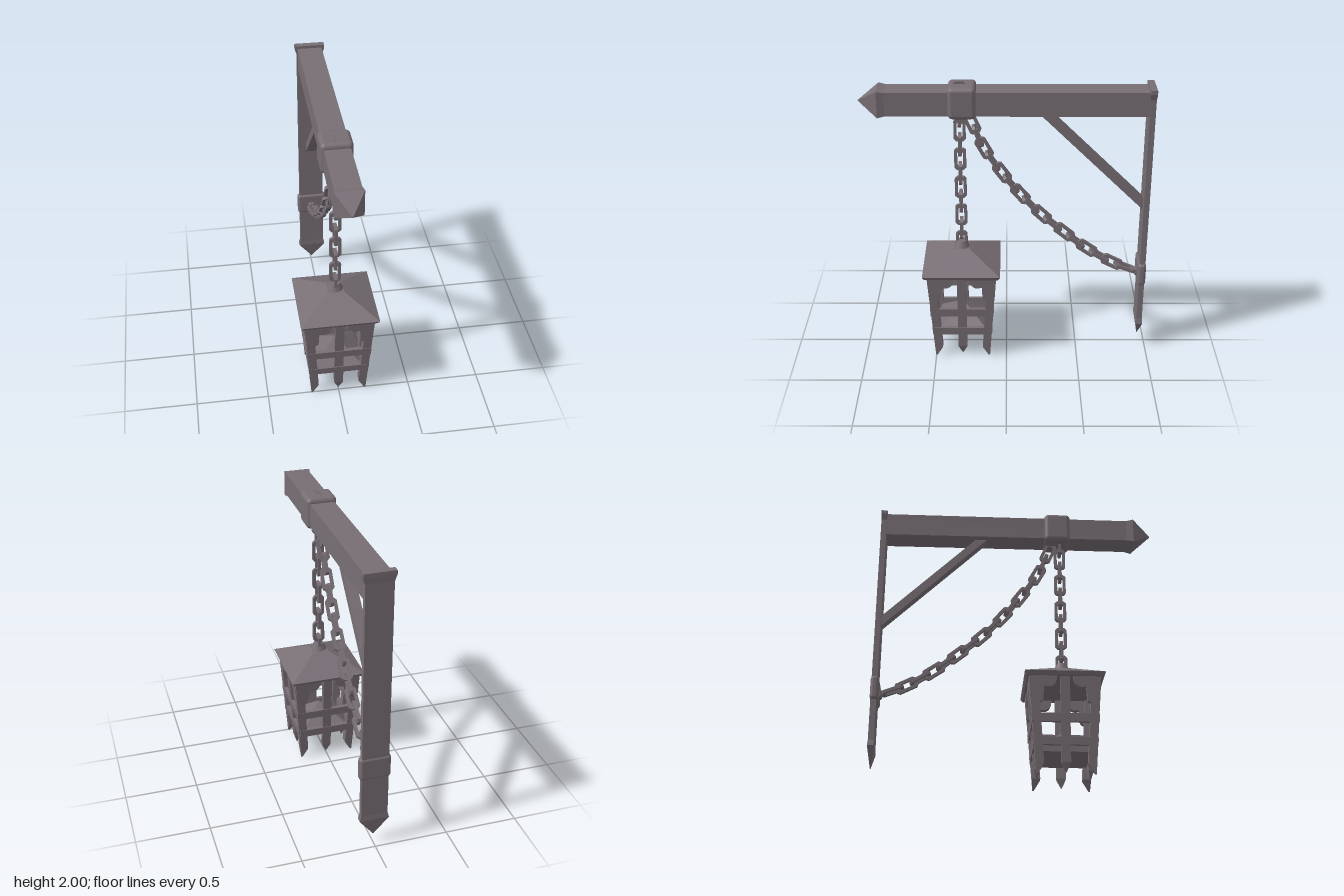
import * as THREE from 'three';
import { RoundedBoxGeometry } from 'three/addons/geometries/RoundedBoxGeometry.js';

const CAGE_Z = 0.31;

export function createModel() {
  const model = new THREE.Group();
  const iron = new THREE.MeshStandardMaterial({ color: 0x776e74 });
  iron.name = 'grey iron';

  function add(name, geometry, parent = model, x = 0, y = 0, z = 0) {
    const mesh = new THREE.Mesh(geometry, iron);
    mesh.name = name;
    mesh.position.set(x, y, z);
    parent.add(mesh);
    return mesh;
  }

  // Rectangular sections stacked along y: [y, halfX, halfZ, centreX, centreZ]
  function loft(rings) {
    const pos = [], index = [];
    for (const [y, hx, hz, cx = 0, cz = 0] of rings) {
      for (const [sx, sz] of [[-1, 1], [1, 1], [1, -1], [-1, -1]]) pos.push(cx + sx * hx, y, cz + sz * hz);
    }
    for (let r = 0; r < rings.length - 1; r++) {
      for (let i = 0; i < 4; i++) {
        const a = r * 4 + i, b = r * 4 + (i + 1) % 4;
        index.push(a, b, b + 4, a, b + 4, a + 4);
      }
    }
    const t = (rings.length - 1) * 4;
    index.push(0, 2, 1, 0, 3, 2, t, t + 1, t + 2, t, t + 2, t + 3);
    let g = new THREE.BufferGeometry();
    g.setAttribute('position', new THREE.Float32BufferAttribute(pos, 3));
    g.setIndex(index);
    g = g.toNonIndexed();
    g.computeVertexNormals();
    return g;
  }

  // Wall post with pointed foot, and beam with pointed flared end
  add('wallPost', loft([
    [0.07, 0.002, 0.002], [0.2, 0.1, 0.022], [0.24, 0.09, 0.019],
    [1.9, 0.09, 0.019], [1.945, 0.104, 0.022], [1.97, 0.104, 0.022],
  ]), model, 0, 0, -0.948);
  const beam = add('beam', loft([
    [-0.93, 0.084, 0.083], [0.79, 0.084, 0.08], [0.84, 0.092, 0.09], [0.97, 0.002, 0.002],
  ]), model, 0, 1.868, 0);
  beam.rotation.x = Math.PI / 2;

  // Diagonal brace
  const low = new THREE.Vector3(0, 1.11, -0.945), high = new THREE.Vector3(0, 1.82, -0.22);
  const brace = add('brace', new THREE.BoxGeometry(0.07, low.distanceTo(high), 0.055));
  brace.position.copy(low).lerp(high, 0.5);
  brace.rotation.x = Math.atan2(high.z - low.z, high.y - low.y);

  // Beam collar and chain anchor on the post
  add('beamCollar', new RoundedBoxGeometry(0.208, 0.216, 0.184, 3, 0.03), model, 0, 1.875, 0.29);
  add('anchorPlate', new RoundedBoxGeometry(0.21, 0.165, 0.056, 3, 0.02), model, 0, 0.605, -0.945);
  add('anchorStud', new RoundedBoxGeometry(0.05, 0.06, 0.03, 2, 0.012), model, 0, 0.59, -0.913);

  // Chain link: chamfered frame in the yz plane
  function linkOutline(Type, w, h, c) {
    return new Type([
      [-w + c, -h], [w - c, -h], [w, -h + c], [w, h - c],
      [w - c, h], [-w + c, h], [-w, h - c], [-w, -h + c],
    ].map(([x, y]) => new THREE.Vector2(x, y)));
  }
  const linkShape = linkOutline(THREE.Shape, 0.04, 0.078, 0.016);
  linkShape.holes.push(linkOutline(THREE.Path, 0.02, 0.054, 0.008));
  const linkGeometry = new THREE.ExtrudeGeometry(linkShape, { depth: 0.022, bevelEnabled: false });
  linkGeometry.translate(0, 0, -0.011).rotateY(Math.PI / 2);

  function addLink(parent, point, tangent, turned) {
    const link = add('chainLink', linkGeometry, parent);
    link.position.copy(point);
    link.rotation.order = 'XYZ';
    link.rotation.x = Math.atan2(tangent.z, tangent.y);
    link.rotation.y = turned ? Math.PI / 2 : 0;
  }

  // Hanging chain
  const hangingChain = new THREE.Group();
  hangingChain.name = 'hangingChain';
  model.add(hangingChain);
  const up = new THREE.Vector3(0, 1, 0);
  for (let i = 0; i < 10; i++) {
    addLink(hangingChain, new THREE.Vector3(0, 1.765 - i * 0.1045, CAGE_Z), up, i % 2 === 0);
  }
  addLink(hangingChain, new THREE.Vector3(0, 1.922, CAGE_Z), up, false);

  // Slack chain from collar to post
  const slackChain = new THREE.Group();
  slackChain.name = 'slackChain';
  model.add(slackChain);
  const sag = new THREE.CatmullRomCurve3([
    [1.71, 0.228], [1.53, 0.149], [1.35, 0.03], [1.19, -0.095], [1.035, -0.24],
    [0.897, -0.4], [0.77, -0.56], [0.66, -0.74], [0.585, -0.92],
  ].map(([y, z]) => new THREE.Vector3(0, y, z)));
  for (let i = 0; i < 16; i++) {
    addLink(slackChain, sag.getPoint(i / 16), sag.getTangent(i / 16), i % 2 === 1);
  }

  // Hanging cage
  const cage = new THREE.Group();
  cage.name = 'cage';
  cage.position.z = CAGE_Z;
  model.add(cage);
  add('cageRoof', loft([
    [0.655, 0.252, 0.252], [0.68, 0.267, 0.267], [0.79, 0.055, 0.055],
  ]), cage);
  add('roofCap', new THREE.CylinderGeometry(0.036, 0.06, 0.055, 12), cage, 0, 0.808, 0);
  add('cageFloor', loft([
    [0.155, 0.168, 0.168], [0.205, 0.168, 0.168], [0.34, 0.003, 0.003],
  ]), cage);

  // Corner bars lean outward and end in points at their outer edge
  for (const sx of [-1, 1]) {
    for (const sz of [-1, 1]) {
      add('cornerBar', loft([[0, 0.005, 0.188], [0.07, 0.028, 0.17], [0.66, 0.03, 0.208]]
        .map(([y, h, c]) => [y, h, h, sx * c, sz * c])), cage);
    }
  }

  // Curved bracket under the eaves
  const bracketShape = new THREE.Shape();
  bracketShape.moveTo(-0.225, 0.66);
  bracketShape.lineTo(-0.212, 0.5);
  bracketShape.quadraticCurveTo(-0.18, 0.455, -0.145, 0.49);
  bracketShape.lineTo(-0.14, 0.585);
  bracketShape.quadraticCurveTo(-0.06, 0.56, -0.052, 0.66);
  const bracketGeometry = new THREE.ExtrudeGeometry(bracketShape, { depth: 0.035, bevelEnabled: false, curveSegments: 6 });

  // Four matching leaning sides
  for (let s = 0; s < 4; s++) {
    const side = new THREE.Group();
    side.name = 'cageSide';
    side.rotation.y = s * Math.PI / 2;
    cage.add(side);
    const panel = new THREE.Group();
    panel.name = 'leaningPanel';
    panel.position.z = 0.193;
    panel.rotation.x = 0.068;
    side.add(panel);
    add('middleBar', loft([
      [0.01, 0.002, 0.002], [0.075, 0.031, 0.018], [0.66, 0.031, 0.018],
    ]), panel, 0, 0, -0.02);
    add('upperBand', new THREE.BoxGeometry(0.44, 0.057, 0.026), panel, 0, 0.372, -0.01);
    add('lowerBand', new THREE.BoxGeometry(0.408, 0.052, 0.026), panel, 0, 0.215, -0.01);
    for (const m of [-1, 1]) {
      add('eaveBracket', bracketGeometry, panel, 0, 0, -0.033).scale.x = m;
    }
  }
  return model;
}
